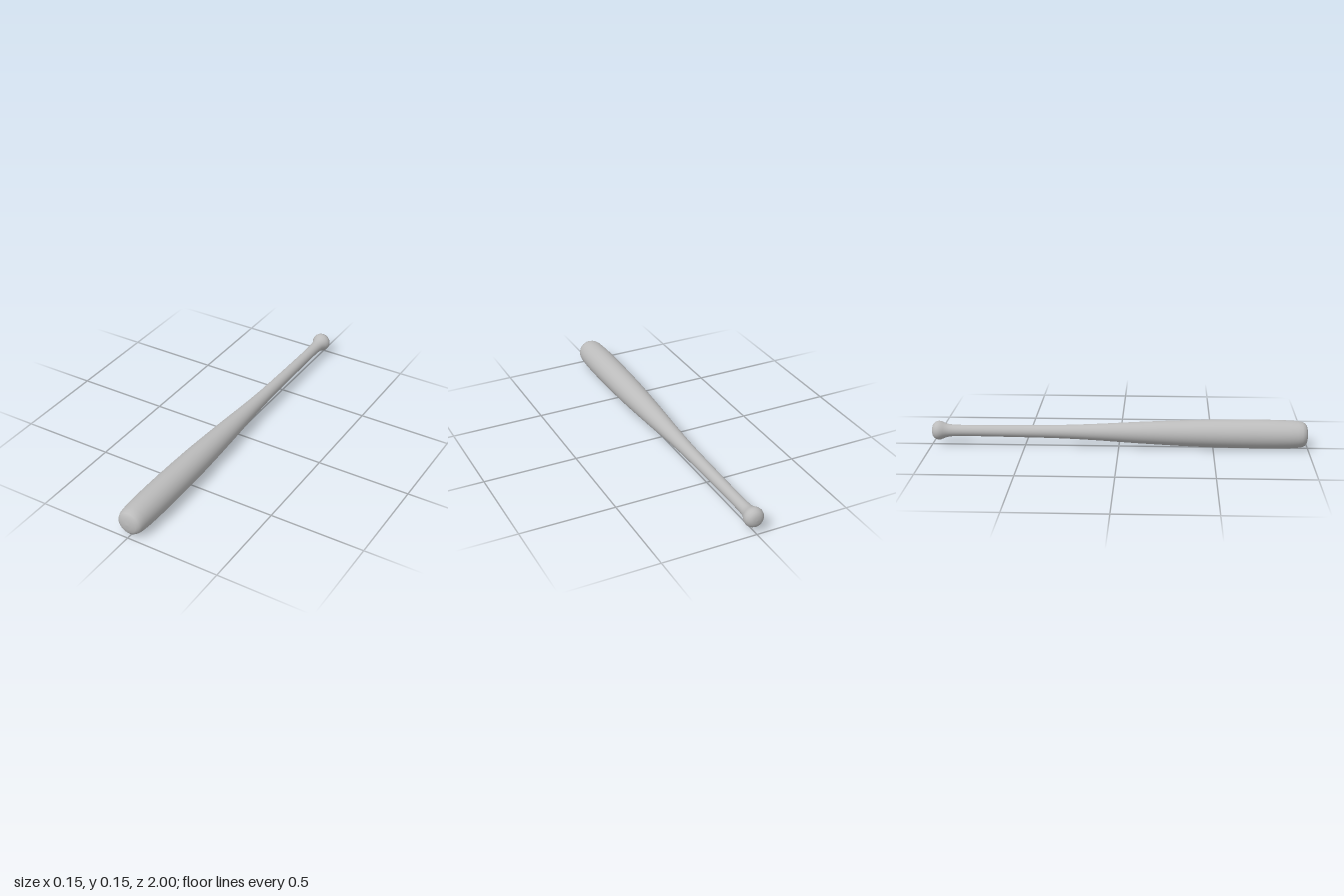
import * as THREE from 'three';

// Profile as [radius, position along the length], from the knob to the barrel tip
const PROFILE = [
  [0, -1], [0.016, -0.999], [0.03, -0.995], [0.041, -0.987], [0.048, -0.976],
  [0.051, -0.964], [0.049, -0.95], [0.043, -0.937], [0.037, -0.922], [0.033, -0.905],
  [0.031, -0.88], [0.03, -0.84], [0.03, -0.75], [0.031, -0.65], [0.032, -0.55],
  [0.034, -0.4], [0.036, -0.3], [0.04, -0.2], [0.045, -0.1], [0.051, 0],
  [0.057, 0.1], [0.062, 0.2], [0.067, 0.3], [0.071, 0.4], [0.074, 0.52],
  [0.076, 0.65], [0.0765, 0.75], [0.076, 0.83], [0.074, 0.9], [0.071, 0.945],
  [0.067, 0.968], [0.06, 0.984], [0.046, 0.993], [0.025, 0.998], [0, 1],
];

export function createModel() {
  const group = new THREE.Group();
  group.name = 'bat';
  const grey = new THREE.MeshStandardMaterial({ color: 0xbcbcbc });
  grey.name = 'grey';

  // Turned body: knob, handle and barrel in one smooth surface, barrel towards +z
  const geometry = new THREE.LatheGeometry(PROFILE.map(([r, z]) => new THREE.Vector2(r, z)), 48);
  geometry.rotateX(Math.PI / 2);
  const body = new THREE.Mesh(geometry, grey);
  body.name = 'batBody';
  body.position.y = 0.0765;
  group.add(body);
  return group;
}
